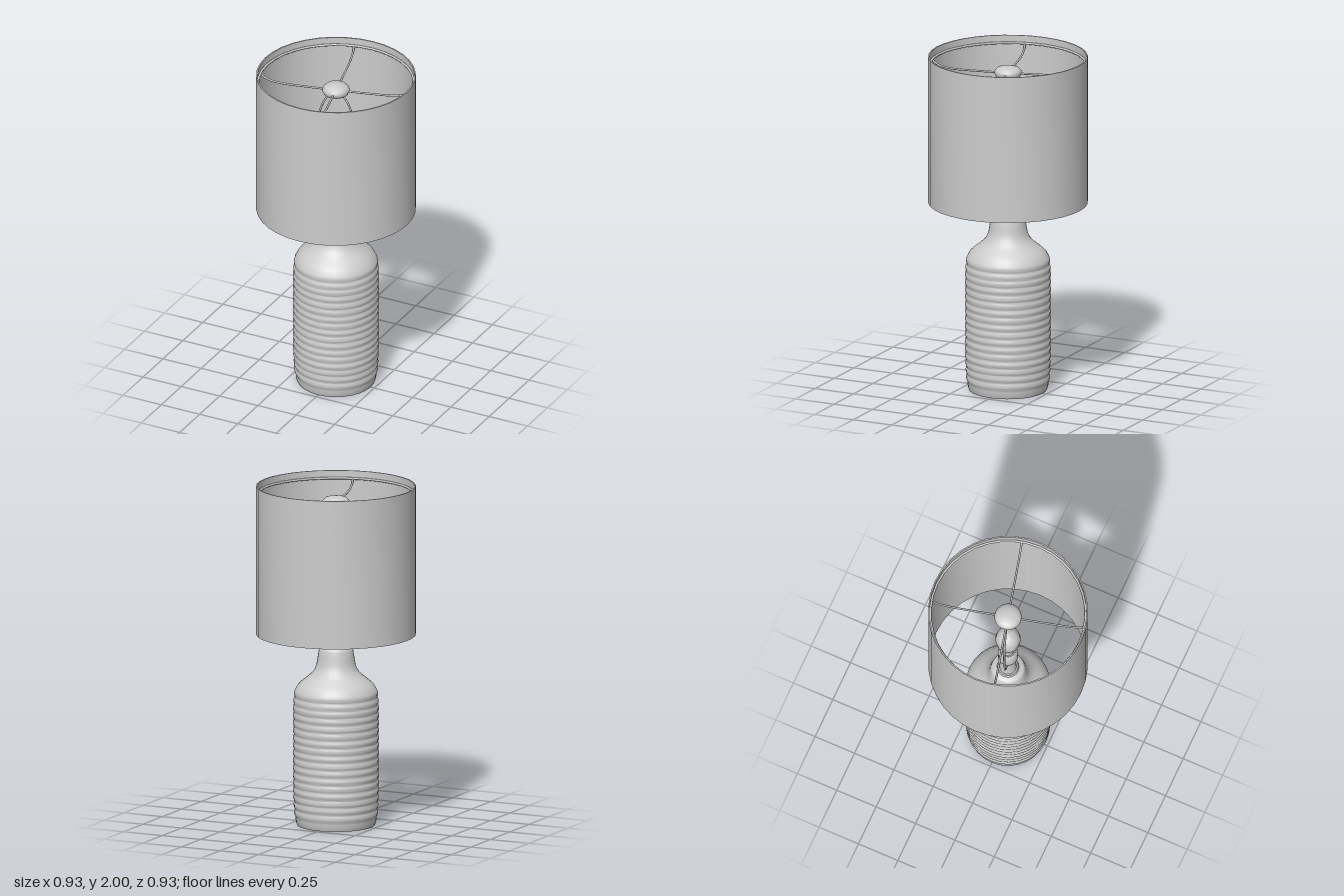
import * as THREE from 'three';
import { toCreasedNormals } from 'three/addons/utils/BufferGeometryUtils.js';

const grey = new THREE.MeshStandardMaterial({ color: 0xcccccc });
grey.name = 'plain grey';

const SPIDER_ANGLE = THREE.MathUtils.degToRad(14);

function part(name, geometry, parent) {
  const mesh = new THREE.Mesh(geometry, grey);
  mesh.name = name;
  parent.add(mesh);
  return mesh;
}

// Turned part from [radius, height] pairs, with sharp edges kept
function turned(profile, sides, crease = 0.75) {
  const points = profile.map(([r, y]) => new THREE.Vector2(r, y));
  return toCreasedNormals(new THREE.LatheGeometry(points, sides), crease);
}

// Round wire through [x, y] points in the z = 0 plane
function wire(points, radius, steps) {
  const curve = new THREE.CatmullRomCurve3(points.map(([x, y]) => new THREE.Vector3(x, y, 0)));
  return new THREE.TubeGeometry(curve, steps, radius, 8);
}

export function createModel() {
  const lamp = new THREE.Group();
  lamp.name = 'tableLamp';

  // Bottle-shaped base with fine horizontal ribs
  const bottle = [[0, 0], [0.226, 0], [0.232, 0.015], [0.235, 0.04]];
  const ribs = 17, steps = 6, low = 0.05, high = 0.8;
  for (let i = 0; i <= ribs * steps; i++) {
    const t = i / (ribs * steps);
    const swell = 0.236 + 0.008 * Math.min(1, t * 5, (1 - t) * 8);
    const rib = 0.006 * Math.abs(Math.sin(Math.PI * ribs * t));
    bottle.push([swell + rib, low + (high - low) * t]);
  }
  bottle.push(
    [0.222, 0.825], [0.197, 0.848], [0.165, 0.873], [0.138, 0.897], [0.122, 0.922],
    [0.113, 0.95], [0.107, 0.985], [0.1, 1.03], [0.096, 1.043], [0.088, 1.05], [0, 1.05]
  );
  part('bottleBase', turned(bottle, 28, 1.1), lamp);

  // Collar, stem and socket
  part('collar', turned([[0, 1.045], [0.062, 1.045], [0.064, 1.055], [0.058, 1.066], [0, 1.066]], 24), lamp);
  part('stem', turned([[0, 1.06], [0.05, 1.06], [0.047, 1.12], [0.045, 1.2], [0, 1.2]], 24), lamp);
  part('socket', turned([
    [0, 1.19], [0.04, 1.19], [0.052, 1.215], [0.058, 1.24], [0.058, 1.3], [0.052, 1.325], [0.043, 1.34], [0, 1.34]
  ], 24), lamp);

  // Bulb
  part('bulb', turned([
    [0.036, 1.33], [0.037, 1.38], [0.05, 1.43], [0.068, 1.48], [0.074, 1.53],
    [0.066, 1.575], [0.045, 1.605], [0.02, 1.62], [0, 1.623]
  ], 24, 1), lamp);

  // Harp that carries the shade around the bulb
  const fitting = new THREE.Group();
  fitting.name = 'shadeFitting';
  fitting.rotation.y = SPIDER_ANGLE;
  lamp.add(fitting);
  for (const s of [1, -1]) {
    part('harpArm', wire([
      [0, 1.2], [0.06 * s, 1.205], [0.088 * s, 1.25], [0.108 * s, 1.33], [0.122 * s, 1.48],
      [0.115 * s, 1.66], [0.08 * s, 1.8], [0.035 * s, 1.88]
    ], 0.006, 36), fitting);
  }

  // Rounded finial in the middle of the spokes
  part('finial', turned([
    [0, 1.868], [0.05, 1.87], [0.07, 1.88], [0.08, 1.9], [0.077, 1.915],
    [0.062, 1.93], [0.035, 1.938], [0, 1.941]
  ], 24, 1), lamp);

  // Four spokes that dip from the ring and run level to the finial
  for (let i = 0; i < 4; i++) {
    const spoke = part('spoke', wire([
      [0.05, 1.9], [0.2, 1.901], [0.34, 1.906], [0.4, 1.918], [0.435, 1.937], [0.45, 1.955]
    ], 0.006, 24), fitting);
    spoke.rotation.y = i * Math.PI / 2;
  }
  const ring = part('spokeRing', new THREE.TorusGeometry(0.45, 0.007, 8, 36), lamp);
  ring.rotation.x = Math.PI / 2;
  ring.position.y = 1.955;

  // Drum shade, a thin open wall
  part('shade', turned([
    [0.455, 1.125], [0.463, 1.125], [0.463, 2], [0.455, 2], [0.455, 1.125]
  ], 36), lamp);

  return lamp;
}
